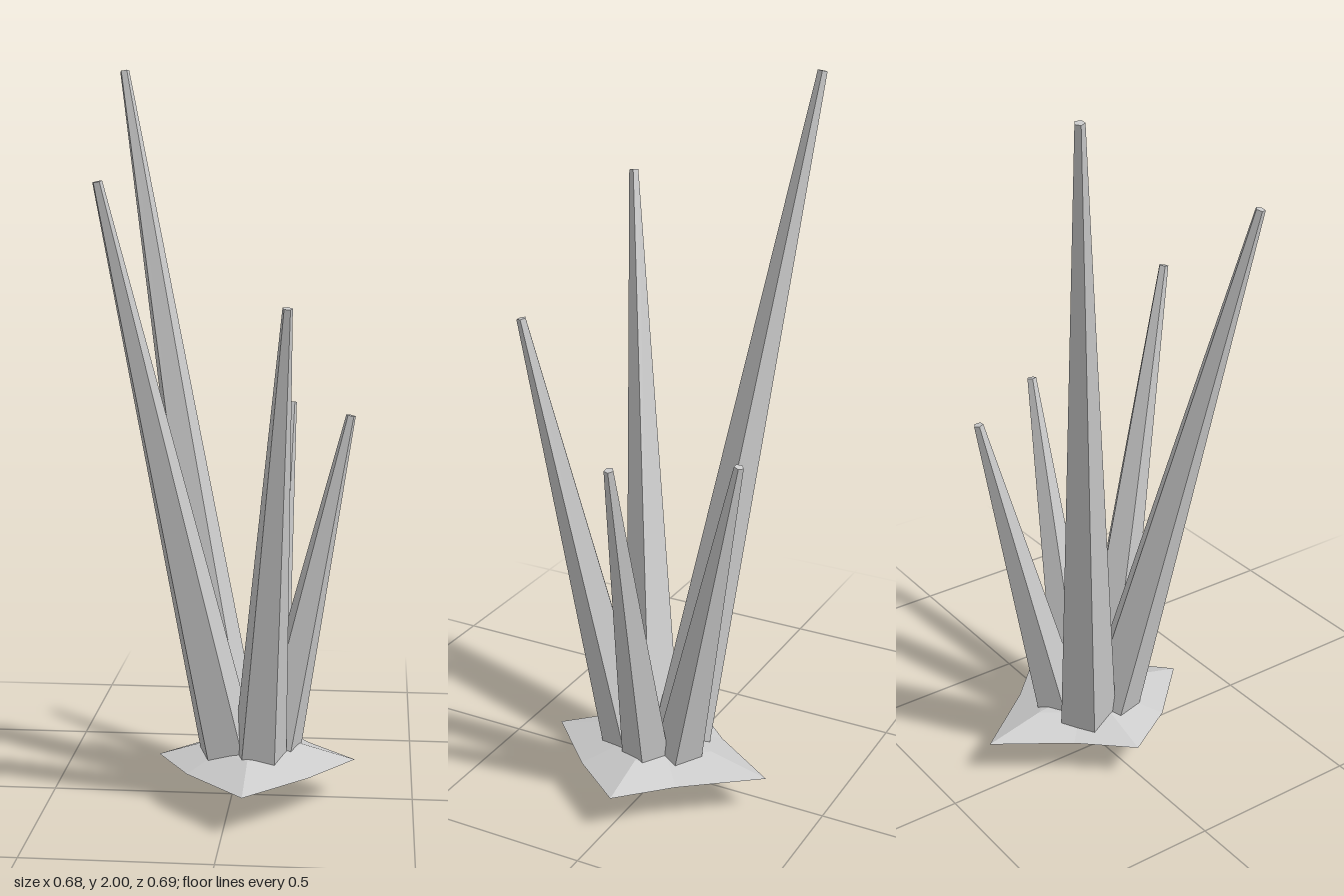
import * as THREE from 'three';

const CENTER = new THREE.Vector3(0.055, 0, -0.01);

const material = new THREE.MeshStandardMaterial({ color: 0xcccccc, flatShading: true, side: THREE.DoubleSide });

// Faceted rock: loops of eight points joined from the bottom point to the top point
function createRock() {
  const rim = [
    [0.34, -0.012], [0.22, 0.148], [0.053, 0.315], [-0.11, 0.147],
    [-0.205, -0.012], [-0.082, -0.148], [0.053, -0.348], [0.209, -0.145],
  ];
  const levels = [[0, 0], [1, 0.106], [0.5, 0.146], [0, 0.168]]; // scale, height
  const rings = levels.map(([s, y]) => rim.map(([x, z]) => [
    CENTER.x + (x - CENTER.x) * s, y, CENTER.z + (z - CENTER.z) * s,
  ]));
  const positions = [];
  for (let j = 0; j < rings.length - 1; j++) {
    for (let i = 0; i < rim.length; i++) {
      const k = (i + 1) % rim.length;
      const a = rings[j][i], b = rings[j][k], c = rings[j + 1][k], d = rings[j + 1][i];
      if (levels[j + 1][0] > 0) positions.push(...a, ...d, ...c);
      if (levels[j][0] > 0) positions.push(...a, ...c, ...b);
    }
  }
  const geometry = new THREE.BufferGeometry();
  geometry.setAttribute('position', new THREE.Float32BufferAttribute(positions, 3));
  geometry.computeVertexNormals();
  const rock = new THREE.Mesh(geometry, material);
  rock.name = 'rockBase';
  return rock;
}

// Five-sided tapered spike leaning outward from the rock
function createSpike(index, footReach, tipReach, height, radius) {
  const angle = index * Math.PI * 2 / 5;
  const outward = new THREE.Vector3(Math.cos(angle), 0, Math.sin(angle));
  const foot = CENTER.clone().addScaledVector(outward, footReach).setY(0.1);
  const tip = CENTER.clone().addScaledVector(outward, tipReach).setY(height);
  const axis = tip.clone().sub(foot);
  const geometry = new THREE.CylinderGeometry(0.0135, radius, axis.length(), 5, 1, false, Math.PI);
  const spike = new THREE.Mesh(geometry, material);
  spike.name = `spike${index + 1}`;
  spike.position.copy(foot).add(tip).multiplyScalar(0.5);
  spike.quaternion.setFromUnitVectors(new THREE.Vector3(0, 1, 0), axis.normalize());
  return spike;
}

export function createModel() {
  const model = new THREE.Group();
  model.name = 'spikeCluster';
  model.add(createRock());

  // Reach of the foot and tip, height and foot radius, in order around the rock
  const spikes = [
    [0.06, 0.265, 1.068, 0.073], [0.077, 0.363, 1.378, 0.078], [0.07, 0.46, 1.688, 0.083],
    [0.072, 0.474, 1.997, 0.088], [0.077, 0.297, 1.068, 0.073],
  ];
  spikes.forEach((s, i) => model.add(createSpike(i, ...s)));
  return model;
}
